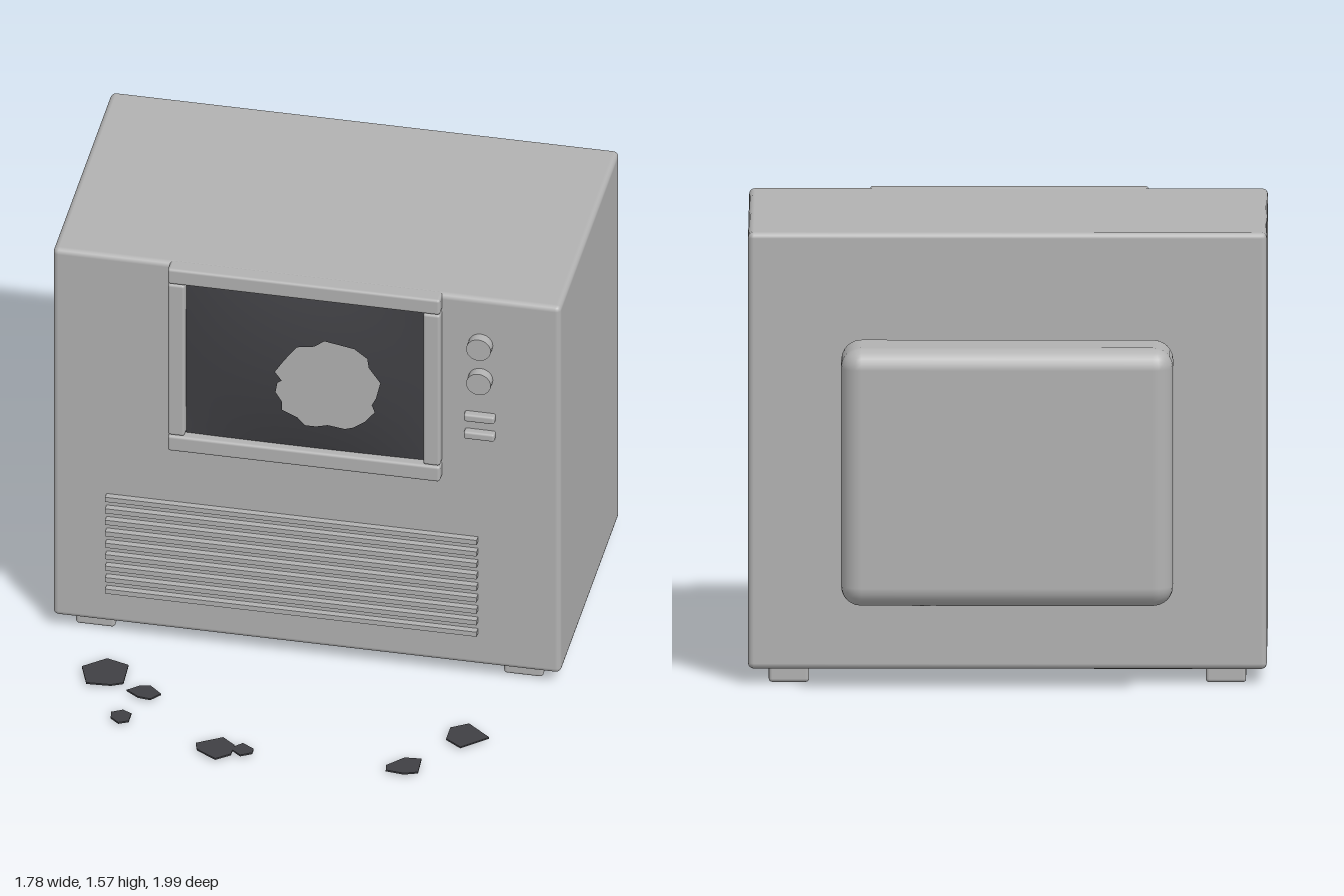
import * as THREE from 'three';
import { RoundedBoxGeometry } from 'three/addons/geometries/RoundedBoxGeometry.js';

const casing = new THREE.MeshStandardMaterial({ color: 0xb2b2b2 });
casing.name = 'casing grey';
const glass = new THREE.MeshStandardMaterial({ color: 0x404044, side: THREE.DoubleSide });
glass.name = 'dark glass';

// Jagged outline of the hole in the screen (x, y), clockwise from the top
const HOLE = [
  [0.07, 1.345], [0.125, 1.335], [0.175, 1.325], [0.22, 1.29], [0.225, 1.255], [0.265, 1.195],
  [0.25, 1.13], [0.235, 1.1], [0.245, 1.07], [0.21, 1.025], [0.17, 0.995], [0.14, 0.985],
  [0.08, 0.995], [0.04, 0.983], [0, 0.983], [-0.025, 1.015], [-0.078, 1.04], [-0.078, 1.077],
  [-0.1, 1.115], [-0.093, 1.155], [-0.078, 1.167], [-0.102, 1.2], [-0.07, 1.25], [-0.045, 1.285],
  [-0.025, 1.31], [0.035, 1.32],
];

// Floor shards: outlines as (x, z)
const SHARDS = [
  [[-0.74, 0.53], [-0.665, 0.465], [-0.585, 0.49], [-0.58, 0.6], [-0.62, 0.62], [-0.705, 0.625]],
  [[-0.56, 0.64], [-0.52, 0.605], [-0.485, 0.598], [-0.44, 0.64], [-0.47, 0.678], [-0.515, 0.672]],
  [[-0.585, 0.783], [-0.548, 0.762], [-0.515, 0.778], [-0.515, 0.825], [-0.548, 0.842], [-0.58, 0.815]],
  [[-0.262, 0.91], [-0.177, 0.857], [-0.13, 0.895], [-0.13, 0.952], [-0.177, 0.99], [-0.25, 0.947]],
  [[-0.13, 0.905], [-0.103, 0.878], [-0.06, 0.905], [-0.06, 0.93], [-0.098, 0.952], [-0.13, 0.926]],
  [[0.405, 0.91], [0.458, 0.852], [0.516, 0.847], [0.521, 0.93], [0.474, 0.947], [0.41, 0.94]],
  [[0.574, 0.64], [0.632, 0.603], [0.717, 0.672], [0.632, 0.75], [0.574, 0.71]],
];

// Bulged screen: rings running from the jagged hole out to the frame
function screenGeometry() {
  const cx = 0.08, cy = 1.165, halfW = 0.45, y0 = 0.86, y1 = 1.53, rings = 8, split = 6;
  const pos = [], idx = [], n = HOLE.length * split, w = rings + 1;
  for (let i = 0; i < n; i++) {
    const k = Math.floor(i / split), t = (i % split) / split;
    const a = HOLE[k], b = HOLE[(k + 1) % HOLE.length];
    const dx = a[0] + (b[0] - a[0]) * t - cx;
    const dy = a[1] + (b[1] - a[1]) * t - cy;
    // How far the ray through this point can be scaled before it meets the border
    const reach = Math.min(
      (dx > 0 ? halfW - cx : halfW + cx) / Math.max(Math.abs(dx), 1e-6),
      (dy > 0 ? y1 - cy : cy - y0) / Math.max(Math.abs(dy), 1e-6),
    );
    for (let r = 0; r <= rings; r++) {
      const s = 1 + (reach - 1) * r / rings;
      const x = cx + dx * s, y = cy + dy * s;
      const u = x / halfW, v = (y - 1.195) / 0.335;
      pos.push(x, y, 0.307 + 0.042 * (1 - u * u) * (1 - v * v));
      if (r < rings) {
        const p = i * w + r, q = ((i + 1) % n) * w + r;
        idx.push(p, q, p + 1, q, q + 1, p + 1);
      }
    }
  }
  const g = new THREE.BufferGeometry();
  g.setAttribute('position', new THREE.Float32BufferAttribute(pos, 3));
  g.setIndex(idx);
  g.computeVertexNormals();
  return g;
}

export function createModel() {
  const model = new THREE.Group();
  model.name = 'brokenTelevision';

  const add = (name, geometry, material, x = 0, y = 0, z = 0) => {
    const mesh = new THREE.Mesh(geometry, material);
    mesh.name = name;
    mesh.position.set(x, y, z);
    model.add(mesh);
    return mesh;
  };
  // Rounded box given by its extents
  const box = (name, x0, x1, y0, y1, z0, z1, radius, segments = 2) =>
    add(name, new RoundedBoxGeometry(x1 - x0, y1 - y0, z1 - z0, segments, radius), casing,
      (x0 + x1) / 2, (y0 + y1) / 2, (z0 + z1) / 2);

  // Cabinet and tube housing
  box('cabinet', -0.89, 0.89, 0.053, 1.57, -0.69, 0.303, 0.02);
  box('rearHousing', -0.57, 0.57, 0.313, 1.21, -1, -0.69, 0.07, 3);

  // Feet
  for (const x of [-0.75, 0.75]) {
    for (const z of [0.19, -0.57]) {
      box('foot', x - 0.069, x + 0.069, 0, 0.06, z - 0.069, z + 0.069, 0.012);
    }
  }

  // Screen frame
  box('frameTop', -0.48, 0.475, 1.508, 1.57, 0.28, 0.343, 0.01);
  box('frameBottom', -0.48, 0.475, 0.817, 0.88, 0.28, 0.343, 0.01);
  box('frameRight', -0.48, -0.42, 0.882, 1.506, 0.28, 0.341, 0.01);
  box('frameLeft', 0.415, 0.475, 0.882, 1.506, 0.28, 0.341, 0.01);

  add('brokenScreen', screenGeometry(), glass);

  // Knobs and buttons
  for (const y of [1.382, 1.24]) {
    const knob = add('knob', new THREE.CylinderGeometry(0.043, 0.043, 0.05, 24), casing, 0.61, y, 0.315);
    knob.rotation.x = Math.PI / 2;
  }
  for (const y of [1.087, 1.015]) {
    box('button', 0.555, 0.663, y - 0.015, y + 0.015, 0.29, 0.33, 0.008);
  }

  // Speaker grille
  for (let i = 0; i < 9; i++) {
    add('grilleBar', new THREE.BoxGeometry(1.302, 0.019, 0.04), casing, -0.05, 0.195 + i * 0.0475, 0.307);
  }

  // Glass shards on the floor
  for (const outline of SHARDS) {
    const shape = new THREE.Shape(outline.map(([x, z]) => new THREE.Vector2(x, -z)));
    const shard = add('glassShard',
      new THREE.ExtrudeGeometry(shape, { depth: 0.006, bevelEnabled: false }), glass, 0, 0.008, 0);
    shard.rotation.x = -Math.PI / 2;
  }
  return model;
}
